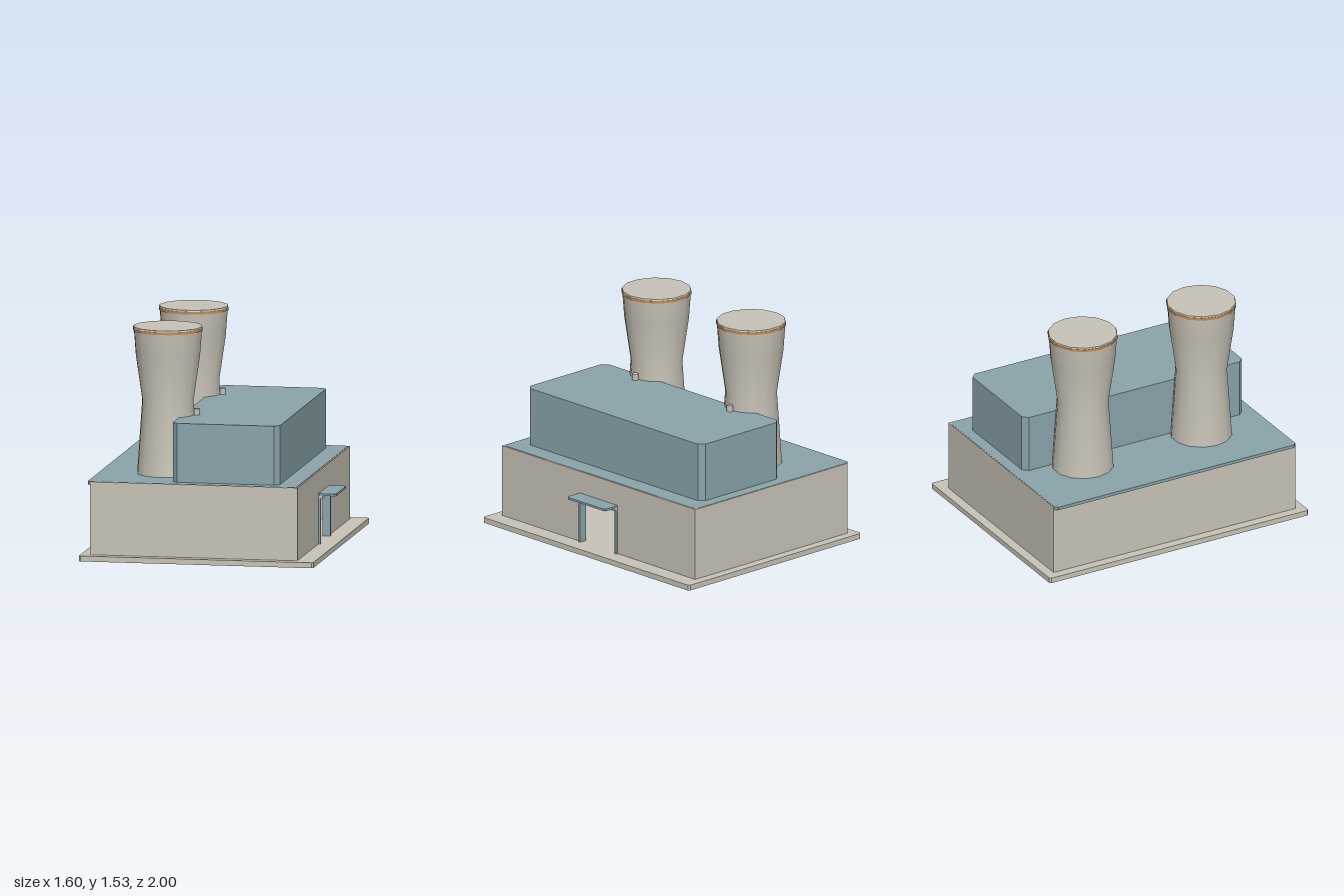
import * as THREE from 'three';

const concrete = new THREE.MeshStandardMaterial({ color: 0xc9c4b8 });
concrete.name = 'concrete';
const blue = new THREE.MeshStandardMaterial({ color: 0x8aa4ab });
blue.name = 'blueCladding';
const orange = new THREE.MeshStandardMaterial({ color: 0xc08a55 });
orange.name = 'orangeRim';

function add(parent, name, geometry, material) {
  const mesh = new THREE.Mesh(geometry, material);
  mesh.name = name;
  parent.add(mesh);
  return mesh;
}

// Box given by its limits on each axis
function box(x0, x1, y0, y1, z0, z1) {
  return new THREE.BoxGeometry(x1 - x0, y1 - y0, z1 - z0)
    .translate((x0 + x1) / 2, (y0 + y1) / 2, (z0 + z1) / 2);
}

// Slab with its four upright edges cut off by c
function chamferedSlab(x0, x1, y0, y1, halfZ, c) {
  const outline = [
    [x0 + c, -halfZ], [x1 - c, -halfZ], [x1, -halfZ + c], [x1, halfZ - c],
    [x1 - c, halfZ], [x0 + c, halfZ], [x0, halfZ - c], [x0, -halfZ + c],
  ].map(([x, y]) => new THREE.Vector2(x, y));
  return new THREE.ExtrudeGeometry(new THREE.Shape(outline), { depth: y1 - y0, bevelEnabled: false })
    .rotateX(-Math.PI / 2)
    .translate(0, y0, 0);
}

// Tower with a narrow waist, an orange rim and a flat cap
function coolingTower(z) {
  const tower = new THREE.Group();
  tower.name = 'coolingTower';
  const sides = 14;
  const profile = [[0.21, 0.52], [0.175, 1.03], [0.219, 1.33], [0.232, 1.505]]
    .map(([r, y]) => new THREE.Vector2(r, y));
  add(tower, 'towerShell', new THREE.LatheGeometry(profile, sides), concrete);
  add(tower, 'towerRim', new THREE.CylinderGeometry(0.237, 0.237, 0.018, sides).translate(0, 1.511, 0), orange);
  add(tower, 'towerCap', new THREE.CylinderGeometry(0.233, 0.235, 0.01, sides).translate(0, 1.525, 0), concrete);
  tower.rotation.y = Math.PI / 2;
  tower.position.set(-0.295, 0, z);
  return tower;
}

export function createModel() {
  const model = new THREE.Group();
  model.name = 'powerPlant';

  add(model, 'baseSlab', chamferedSlab(-0.8, 0.8, 0, 0.037, 1, 0.012), concrete);

  // Hollow hall: three plain walls and one with a doorway
  const hall = new THREE.Group();
  hall.name = 'hall';
  model.add(hall);
  const low = 0.037, top = 0.53, t = 0.04;
  add(hall, 'rightWall', box(-0.735, -0.735 + t, low, top, -0.935, 0.935), concrete);
  for (const s of [-1, 1]) {
    const inner = s * (0.935 - t), outer = s * 0.935;
    add(hall, s > 0 ? 'frontWall' : 'backWall',
      box(-0.735 + t, 0.68 - t, low, top, Math.min(inner, outer), Math.max(inner, outer)), concrete);
  }
  const doorWall = new THREE.Shape([
    [-0.935, low], [-0.18, low], [-0.18, 0.345], [0.18, 0.345],
    [0.18, low], [0.935, low], [0.935, top], [-0.935, top],
  ].map(([x, y]) => new THREE.Vector2(x, y)));
  add(hall, 'doorWall', new THREE.ExtrudeGeometry(doorWall, { depth: t, bevelEnabled: false })
    .rotateY(Math.PI / 2).translate(0.68 - t, 0, 0), concrete);
  add(hall, 'roof', chamferedSlab(-0.755, 0.67, 0.51, 0.532, 0.93, 0.02), blue);

  // Doorway frame and canopy
  const door = new THREE.Group();
  door.name = 'doorway';
  model.add(door);
  for (const s of [-1, 1]) {
    add(door, 'doorPost', box(0.64, 0.694, low, 0.345, s * 0.174 - 0.009, s * 0.174 + 0.009), blue);
  }
  add(door, 'lintel', box(0.67, 0.708, 0.345, 0.363, -0.183, 0.183), concrete);
  add(door, 'canopy', chamferedSlab(0.675, 0.8, 0.363, 0.378, 0.185, 0.01), blue);

  // Upper block with two small vents
  add(model, 'upperBlock', chamferedSlab(-0.193, 0.54, 0.53, 0.932, 0.85, 0.036), blue);
  for (const z of [-0.458, 0.458]) {
    add(model, 'vent', new THREE.CylinderGeometry(0.021, 0.021, 0.055, 8).translate(-0.097, 0.948, z), concrete);
    model.add(coolingTower(z));
  }
  return model;
}
